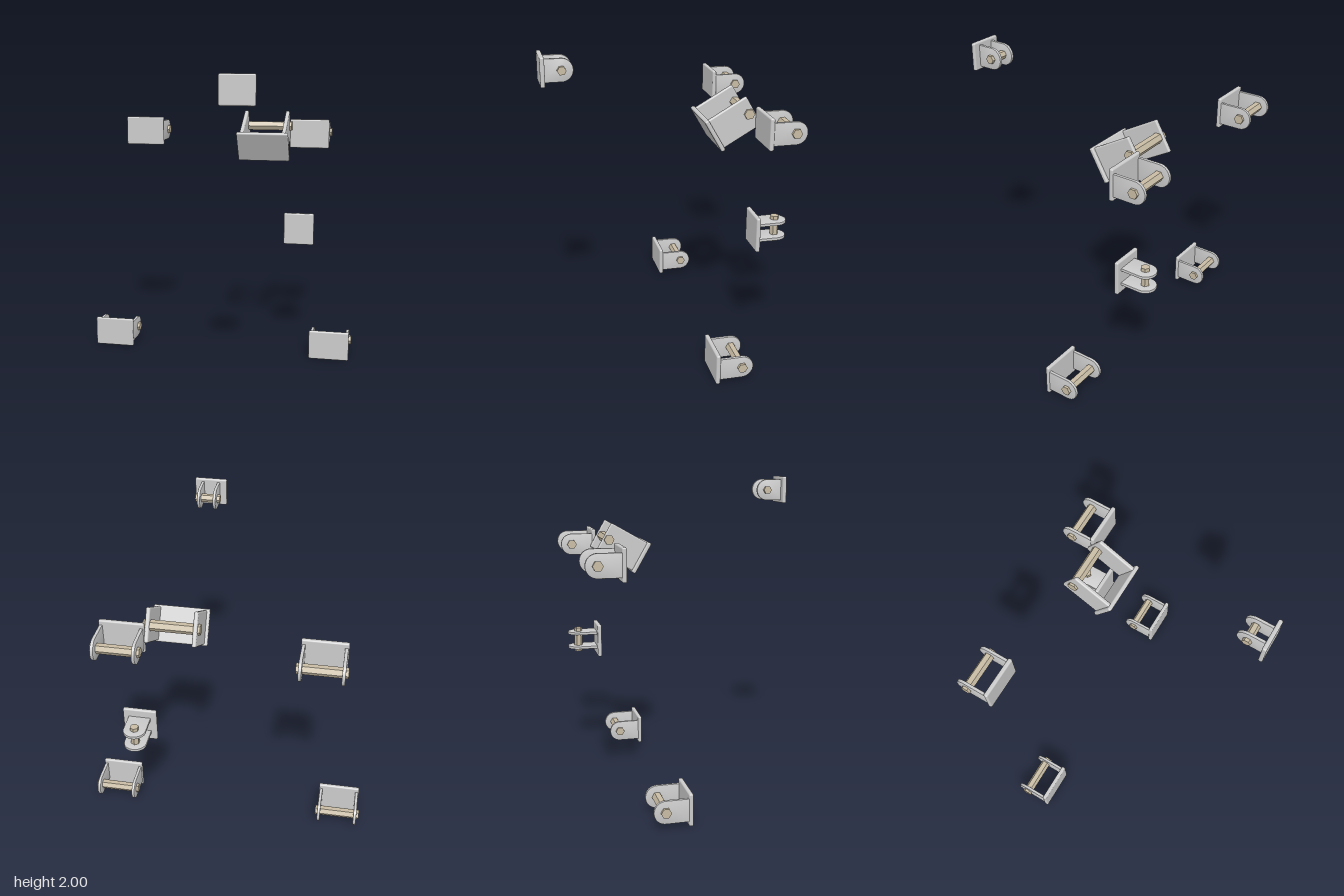
import * as THREE from 'three';
import { RoundedBoxGeometry } from 'three/addons/geometries/RoundedBoxGeometry.js';
import { toCreasedNormals } from 'three/addons/utils/BufferGeometryUtils.js';

const steel = new THREE.MeshStandardMaterial({ color: 0xcccccc });
const pinMaterial = new THREE.MeshStandardMaterial({ color: 0xc8bca4 });

function addMesh(parent, name, geometry, material = steel) {
  const mesh = new THREE.Mesh(geometry, material);
  mesh.name = name;
  parent.add(mesh);
  return mesh;
}

// Ear with a round end, running back (-z) from the plate to the pin
function roundEar(radius, pinAt, thickness) {
  const bevel = 0.003;
  const s = new THREE.Shape();
  s.moveTo(0, -radius);
  s.lineTo(pinAt, -radius);
  s.absarc(pinAt, 0, radius, -Math.PI / 2, Math.PI / 2, false);
  s.lineTo(0, radius);
  s.closePath();
  const g = new THREE.ExtrudeGeometry(s, {
    depth: thickness - 2 * bevel, bevelThickness: bevel, bevelSize: bevel,
    bevelOffset: -bevel, bevelSegments: 2, curveSegments: 20,
  });
  g.translate(0, 0, -thickness / 2 + bevel);
  g.rotateY(Math.PI / 2);
  return toCreasedNormals(g, 0.7);
}

// Ear with a square end and softened edges
function squareEar(halfHeight, reach, thickness) {
  const g = new RoundedBoxGeometry(thickness, halfHeight * 2, reach, 3, 0.01);
  g.translate(0, 0, -reach / 2);
  return g;
}

// Clevis bracket: plate at the origin, two ears behind it, hexagonal pin along x
function bracket(name, position, o) {
  const group = new THREE.Group();
  group.name = name;
  group.position.set(...position);
  addMesh(group, 'plate', new RoundedBoxGeometry(o.width, o.height, 0.028, 3, 0.01));
  for (const side of [-1, 1]) {
    const ear = o.squareReach
      ? squareEar(o.earRadius, o.squareReach, o.earThickness)
      : roundEar(o.earRadius, o.pinAt, o.earThickness);
    addMesh(group, side > 0 ? 'leftEar' : 'rightEar', ear).position.x = side * o.earOffset;
  }
  const pin = new THREE.CylinderGeometry(o.pinRadius, o.pinRadius, o.pinLength, 6).toNonIndexed();
  pin.rotateZ(Math.PI / 2);
  pin.rotateX(-(o.tilt || 0));
  pin.computeVertexNormals();
  addMesh(group, 'pin', pin, pinMaterial).position.z = -o.pinAt;
  group.rotation.set(o.tilt || 0, 0, o.roll || 0);
  return group;
}

export function createModel() {
  const model = new THREE.Group();
  model.name = 'bracketSet';

  const wide = {
    width: 0.277, height: 0.202, earRadius: 0.072, earThickness: 0.02, earOffset: 0.123,
    pinAt: 0.153, pinRadius: 0.032, pinLength: 0.299,
  };
  const narrow = {
    width: 0.216, height: 0.182, earRadius: 0.071, earThickness: 0.019, earOffset: 0.053,
    pinAt: 0.115, pinRadius: 0.028, pinLength: 0.167,
  };
  const upright = {
    ...narrow, width: 0.228, height: 0.216, earRadius: 0.072, earOffset: 0.051,
    pinAt: 0.139, pinLength: 0.169, roll: Math.PI / 2,
  };
  const large = {
    width: 0.355, height: 0.23, earRadius: 0.106, earThickness: 0.027, earOffset: 0.145,
    squareReach: 0.288, pinAt: 0.25, pinRadius: 0.034, pinLength: 0.347, tilt: Math.PI / 6,
  };

  model.add(
    bracket('lowerRightBracket', [-0.777, 0.102, -0.193], wide),
    bracket('lowerLeftBracket', [0.777, 0.102, -0.193], wide),
    bracket('upperRightBracket', [-0.622, 1.542, -0.542], wide),
    bracket('upperLeftBracket', [0.582, 1.542, -0.542], wide),
    bracket('topBracket', [0.289, 1.909, 0.758], narrow),
    bracket('uprightPinBracket', [0.521, 0.856, -0.518], upright),
    bracket('tiltedBracket', [0.289, 1.474, -0.27], large),
  );
  return model;
}
